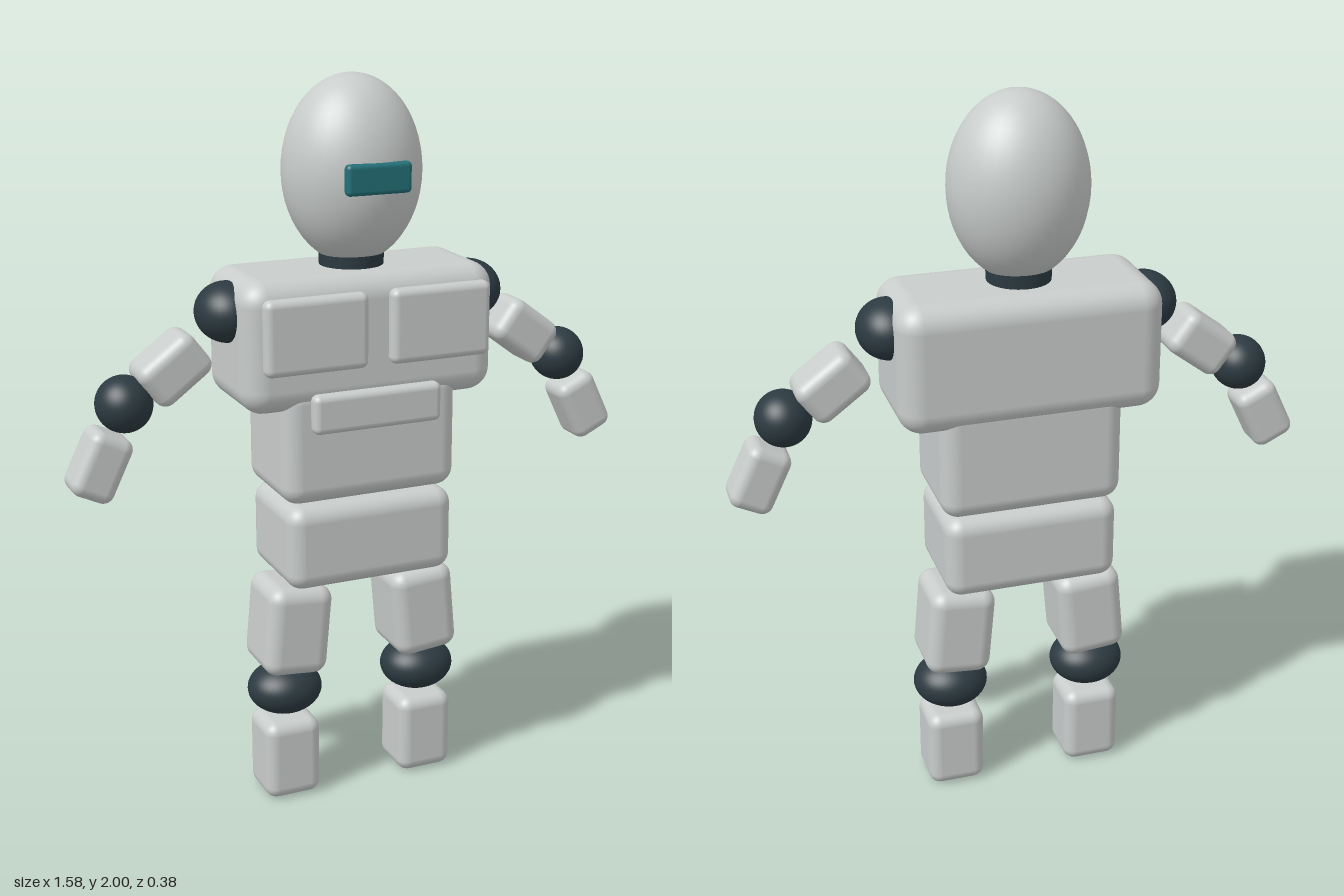
import * as THREE from 'three';
import { RoundedBoxGeometry } from 'three/addons/geometries/RoundedBoxGeometry.js';

function material(name, color) {
  const m = new THREE.MeshStandardMaterial({ color });
  m.name = name;
  return m;
}

export function createModel() {
  const root = new THREE.Group();
  root.name = 'robot';
  const shell = material('light grey shell', 0xc8cccb);
  const joint = material('dark slate joint', 0x2c3a41);
  const glass = material('teal visor', 0x237078);
  const Z = -0.014; // body axis, set back to balance the chest plates

  function add(name, geometry, mat, position, tilt = 0) {
    const mesh = new THREE.Mesh(geometry, mat);
    mesh.name = name;
    mesh.position.set(...position);
    mesh.rotation.z = tilt;
    root.add(mesh);
    return mesh;
  }
  const box = (name, size, radius, position, tilt, mat = shell) =>
    add(name, new RoundedBoxGeometry(...size, 5, radius), mat, position, tilt);
  const ball = (name, radii, position, mat = joint) =>
    add(name, new THREE.SphereGeometry(1, 40, 28), mat, position).scale.set(...radii);

  // Head, visor and neck
  ball('head', [0.186, 0.247, 0.177], [0, 1.753, Z + 0.003], shell);
  box('visor', [0.18, 0.08, 0.03], 0.012, [0, 1.752, 0.158], 0, glass);
  add('neck', new THREE.CylinderGeometry(0.088, 0.083, 0.12, 40), joint, [0, 1.5, Z]);

  // Torso blocks
  box('chest', [0.715, 0.353, 0.325], 0.065, [0, 1.327, Z - 0.003]);
  box('abdomen', [0.5, 0.33, 0.305], 0.05, [0, 1.057, Z]);
  box('pelvis', [0.48, 0.235, 0.305], 0.045, [0, 0.769, Z + 0.005]);
  box('bellyPlate', [0.364, 0.106, 0.045], 0.018, [0, 1.15, 0.153]);

  for (const [side, s] of [['left', 1], ['right', -1]]) {
    box(side + 'ChestPlate', [0.285, 0.2, 0.046], 0.02, [s * 0.175, 1.367, 0.164]);

    // Arm
    ball(side + 'Shoulder', [0.085, 0.08, 0.097], [s * 0.35, 1.405, Z]);
    box(side + 'UpperArm', [0.18, 0.13, 0.137], 0.032, [s * 0.508, 1.275, Z], -s * 0.64);
    ball(side + 'Elbow', [0.075, 0.075, 0.08], [s * 0.635, 1.19, Z]);
    box(side + 'Forearm', [0.12, 0.18, 0.118], 0.03, [s * 0.709, 1.037, Z], s * 0.45);

    // Leg
    box(side + 'Thigh', [0.184, 0.256, 0.205], 0.04, [s * 0.19, 0.506, Z], s * 0.09);
    ball(side + 'Knee', [0.105, 0.073, 0.097], [s * 0.204, 0.312, Z]);
    box(side + 'Shin', [0.162, 0.23, 0.16], 0.034, [s * 0.204, 0.115, Z]);
  }
  return root;
}
